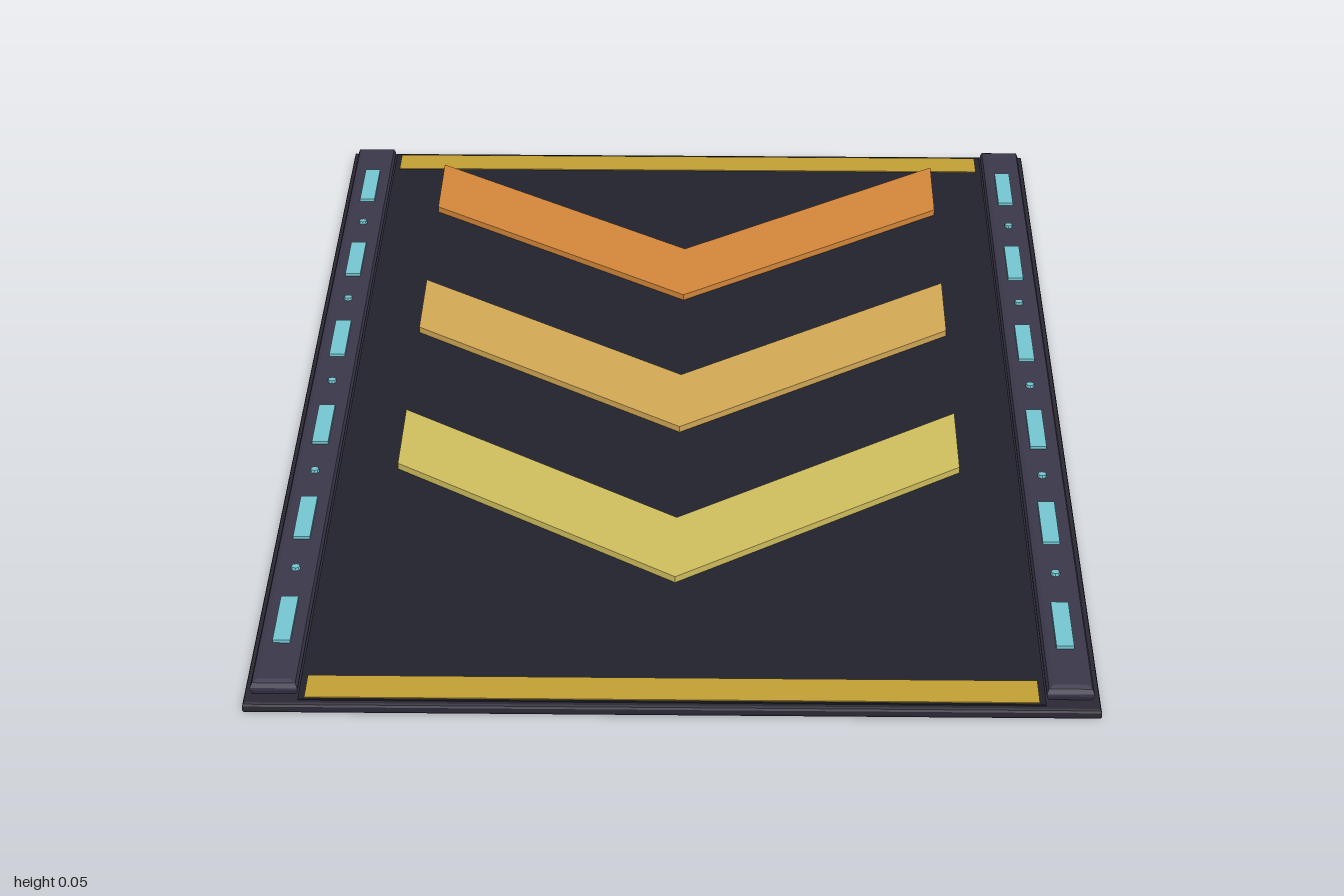
import * as THREE from 'three';

const material = (name, color) => {
  const m = new THREE.MeshStandardMaterial({ color, flatShading: true });
  m.name = name;
  return m;
};

export function createModel() {
  const group = new THREE.Group();
  group.name = 'boostPad';
  const base = material('dark purple base', 0x2b2835);
  const rail = material('purple rail', 0x3a374a);
  const panel = material('near black panel', 0x21222c);
  const stripe = material('hazard yellow', 0xc2a034);
  const light = material('cyan light', 0x74c6d2);
  const arrows = [
    material('orange', 0xd4873a),
    material('amber', 0xd2a855),
    material('pale yellow', 0xd0be5e),
  ];

  const add = (name, geometry, mat, x = 0, y = 0, z = 0) => {
    const mesh = new THREE.Mesh(geometry, mat);
    mesh.name = name;
    mesh.position.set(x, y, z);
    group.add(mesh);
    return mesh;
  };
  const box = (name, mat, w, h, d, x, y, z) =>
    add(name, new THREE.BoxGeometry(w, h, d), mat, x, y, z);

  // Slab with chamfered edges, its outer size given, standing on y
  const slab = (name, mat, w, h, d, bevel, x, y) => {
    const a = w / 2 - bevel, b = d / 2 - bevel;
    const shape = new THREE.Shape([
      new THREE.Vector2(-a, -b), new THREE.Vector2(a, -b),
      new THREE.Vector2(a, b), new THREE.Vector2(-a, b),
    ]);
    const g = new THREE.ExtrudeGeometry(shape, {
      depth: h - 2 * bevel, bevelEnabled: true,
      bevelSize: bevel, bevelThickness: bevel, bevelSegments: 2,
    });
    g.rotateX(-Math.PI / 2).translate(0, bevel, 0);
    return add(name, g, mat, x, y, 0);
  };

  // Base plate and the inset running surface
  slab('basePlate', base, 1.33, 0.017, 2, 0.005, 0, 0);
  box('panel', panel, 1.16, 0.008, 1.976, 0, 0.015, 0);

  // Warning stripes at both ends
  for (const s of [-1, 1])
    box('endStripe', stripe, 1.14, 0.004, 0.062, 0, 0.0185, s * 0.953);

  // Chevrons, pointing to the front
  arrows.forEach((mat, i) => {
    const z = -0.92 + i * 0.5;
    const points = [[-0.48, 0], [-0.48, 0.19], [0, 0.555], [0.48, 0.19], [0.48, 0], [0, 0.365]];
    const shape = new THREE.Shape(points.map(([px, pz]) => new THREE.Vector2(px, -pz)));
    const g = new THREE.ExtrudeGeometry(shape, { depth: 0.011, bevelEnabled: false });
    g.rotateX(-Math.PI / 2);
    add('chevron', g, mat, 0, 0.019, z);
  });

  // Side rails with light bars and small round lamps between them
  for (const s of [-1, 1]) {
    slab('sideRail', rail, 0.074, 0.026, 1.95, 0.011, s * 0.618, 0.015);
    for (let i = 0; i < 6; i++)
      box('lightBar', light, 0.028, 0.01, 0.132, s * 0.617, 0.041, (i - 2.5) * 0.318);
    for (let i = 0; i < 5; i++)
      add('lamp', new THREE.CylinderGeometry(0.007, 0.009, 0.01, 8), light,
        s * 0.617, 0.041, (i - 2) * 0.318);
  }
  return group;
}
